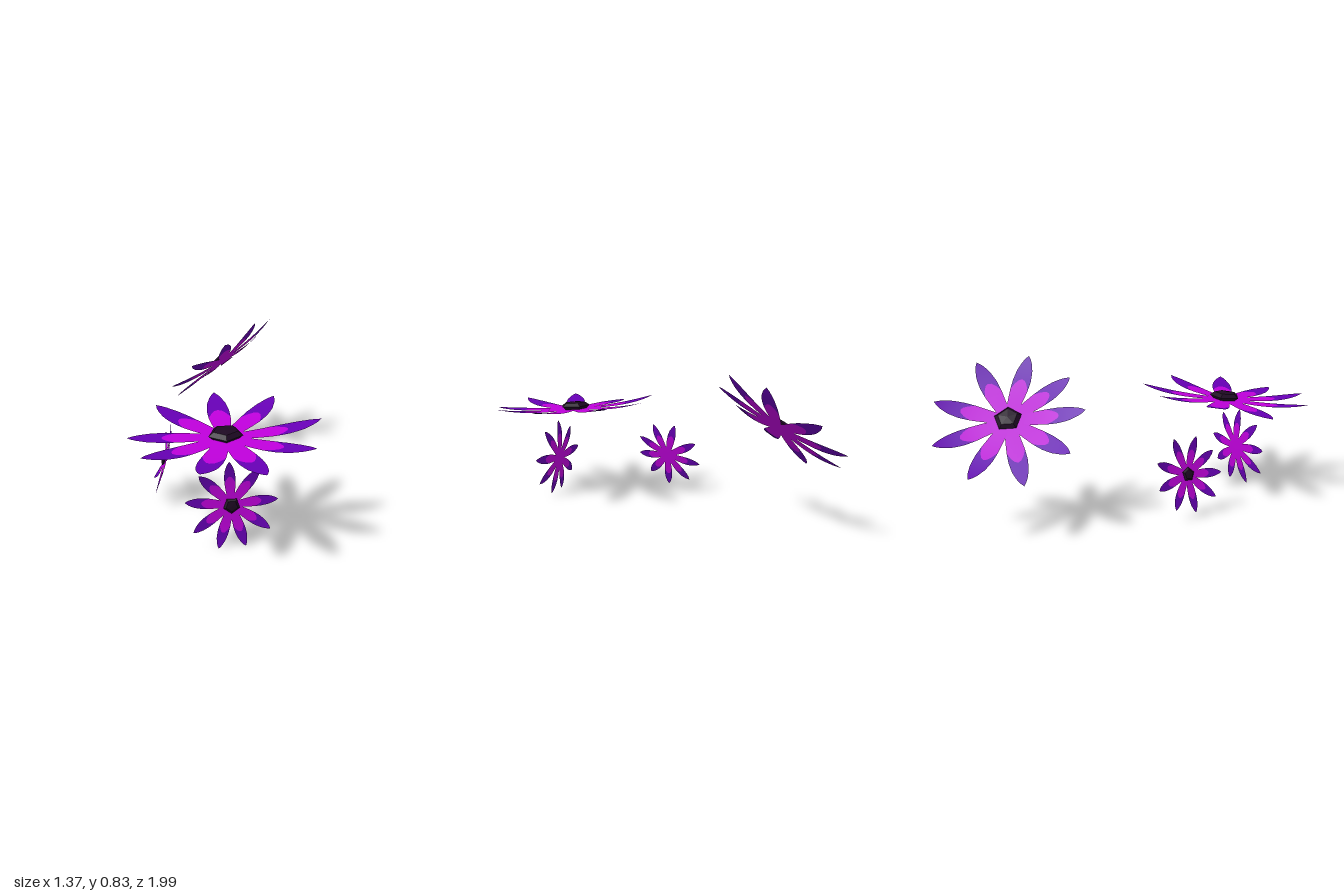
import * as THREE from 'three';
import { mergeGeometries } from 'three/addons/utils/BufferGeometryUtils.js';

// Petals: direction in degrees, clockwise around the flower, and how far the tip curls up
const PETALS = [
  [0, 0.095], [47, 0.095], [88, 0.09], [126, 0.045], [161, 0.095],
  [200, 0.09], [240, 0.0], [279.5, 0.095], [320.5, 0.095],
];

// Half width of a petal at relative distance r from the centre
const WIDTHS = [[0, 0.06], [0.2, 0.085], [0.32, 0.1], [0.48, 0.117], [0.63, 0.121], [0.78, 0.104], [0.9, 0.064], [0.97, 0.027], [1, 0]];
function halfWidth(r) {
  for (let i = 1; i < WIDTHS.length; i++) {
    const [r0, w0] = WIDTHS[i - 1], [r1, w1] = WIDTHS[i];
    if (r <= r1) return w0 + (w1 - w0) * (r - r0) / (r1 - r0);
  }
  return 0;
}

// One colour zone of a petal, from the centre to the rounded border or from there to the tip
function petalZone(inner, curl) {
  const geo = new THREE.PlaneGeometry(2, 1, 6, 10);
  const pos = geo.attributes.position;
  for (let i = 0; i < pos.count; i++) {
    const s = pos.getX(i), t = pos.getY(i) + 0.5;
    const border = 0.65 - 0.17 * s * s;
    const r = inner ? t * border : border + t * (1 - border);
    pos.setXYZ(i, s * halfWidth(r), curl * Math.pow(r, 3), -r);
  }
  geo.computeVertexNormals();
  return geo;
}

// Repeat a petal zone around the flower
function petalRing(inner) {
  return mergeGeometries(PETALS.map(
    ([deg, curl]) => petalZone(inner, curl).rotateY(-THREE.MathUtils.degToRad(deg))));
}

export function createModel() {
  const magenta = new THREE.MeshStandardMaterial({ color: 0xbe00da, side: THREE.DoubleSide });
  magenta.name = 'magenta';
  const violet = new THREE.MeshStandardMaterial({ color: 0x6600b4, side: THREE.DoubleSide });
  violet.name = 'violet';
  const dark = new THREE.MeshStandardMaterial({ color: 0x1d0922, flatShading: true });
  dark.name = 'darkPlum';

  const innerGeo = petalRing(true);
  const outerGeo = petalRing(false);
  // Low five-sided button in the middle
  const heartGeo = new THREE.LatheGeometry([
    new THREE.Vector2(0.14, 0.002), new THREE.Vector2(0.185, 0.04),
    new THREE.Vector2(0.13, 0.08), new THREE.Vector2(0, 0.092),
  ], 5).rotateY(Math.PI);

  const model = new THREE.Group();
  model.name = 'flowers';

  // Place a flower by centre, radius, facing direction and direction of its first petal
  function addFlower(name, centre, radius, facing, firstPetal) {
    const flower = new THREE.Group();
    flower.name = name;
    const parts = [['petalBases', innerGeo, magenta], ['petalTips', outerGeo, violet], ['flowerHeart', heartGeo, dark]];
    for (const [partName, geo, mat] of parts) {
      const mesh = new THREE.Mesh(geo, mat);
      mesh.name = partName;
      flower.add(mesh);
    }
    const y = new THREE.Vector3(...facing).normalize();
    const z = new THREE.Vector3(...firstPetal).projectOnPlane(y).normalize().negate();
    const x = new THREE.Vector3().crossVectors(y, z);
    flower.quaternion.setFromRotationMatrix(new THREE.Matrix4().makeBasis(x, y, z));
    flower.position.set(...centre);
    flower.scale.setScalar(radius);
    model.add(flower);
  }

  addFlower('largeFlower', [0.213, 0.524, 0.53], 0.476, [0.015, 1, 0.079], [0.09, 0.08, -1]);
  addFlower('backFlower', [-0.393, 0.557, -0.62], 0.388, [-0.665, 0.747, -0.025], [0.074, 0.06, -0.376]);
  addFlower('frontFlower', [0.285, 0.219, 0.613], 0.225, [0.575, 0.05, 0.815], [0.107, 0.181, -0.08]);
  addFlower('smallFlower', [-0.281, 0.236, 0.285], 0.205, [-0.817, 0.283, 0.504], [-0.081, 0.083, -0.166]);
  return model;
}
